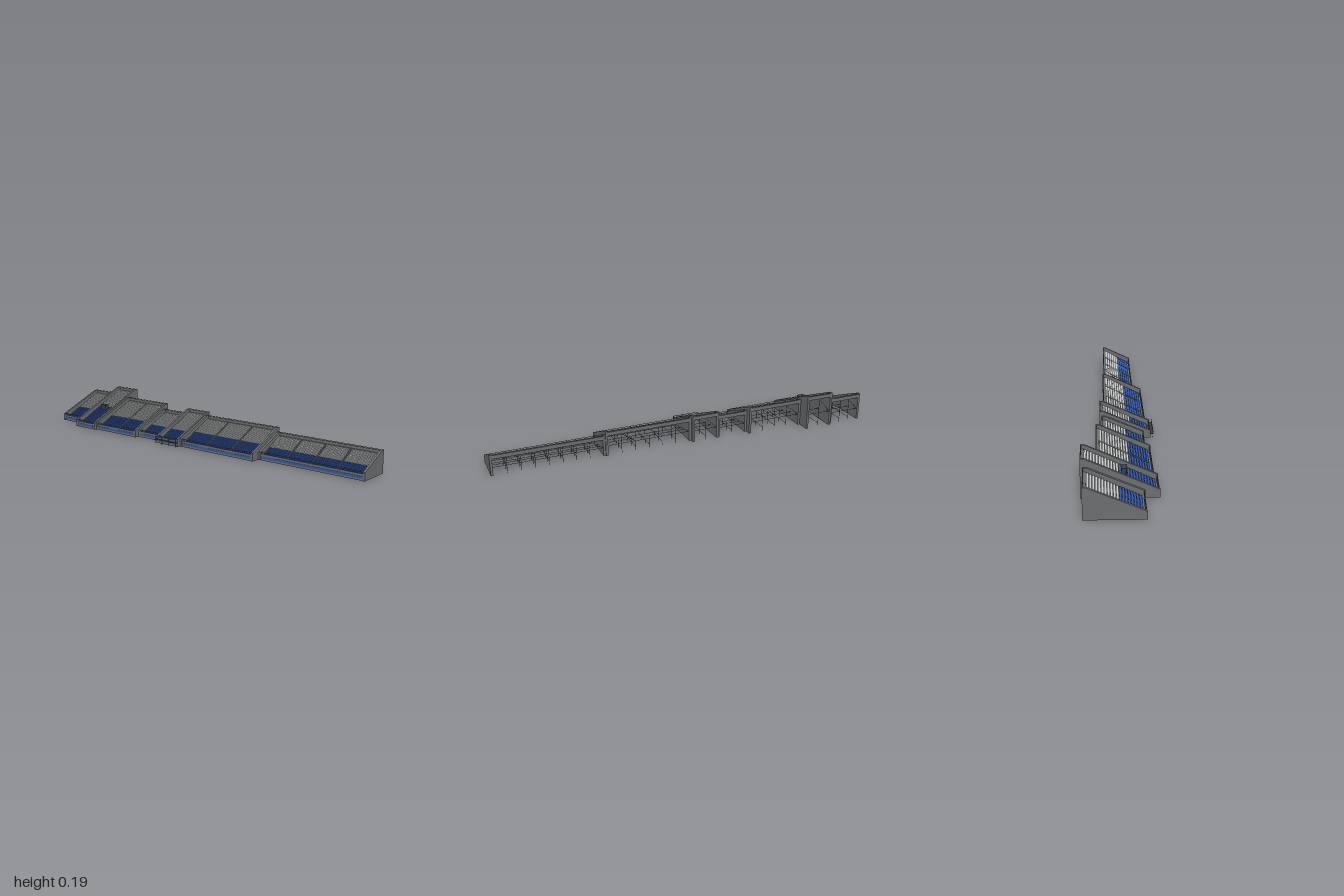
import * as THREE from 'three';
import { mergeGeometries } from 'three/addons/utils/BufferGeometryUtils.js';

const mat = (name, color) => {
  const m = new THREE.MeshStandardMaterial({ color });
  m.name = name;
  return m;
};

// Each stand: x range, back z, front z, top height, aisle positions, z where the blue seats end
const STANDS = [
  { x0: -1.0, x1: -0.812, zb: -0.167, zf: 0.1, top: 0.147, aisles: [], blue: -0.015 },
  { x0: -0.812, x1: -0.66, zb: -0.178, zf: 0.166, top: 0.185, aisles: [], blue: -0.005 },
  { x0: -0.66, x1: -0.35, zb: -0.11, zf: 0.152, top: 0.147, aisles: [-0.505], blue: 0.036 },
  { x0: -0.35, x1: -0.18, zb: -0.08, zf: 0.13, top: 0.121, aisles: [], blue: 0.036 },
  { x0: -0.18, x1: -0.033, zb: -0.09, zf: 0.166, top: 0.144, aisles: [], blue: 0.06 },
  { x0: -0.033, x1: 0.43, zb: -0.07, zf: 0.148, top: 0.13, aisles: [0.122, 0.275], blue: 0.045 },
  { x0: 0.43, x1: 1.0, zb: -0.063, zf: 0.104, top: 0.109, aisles: [0.577, 0.711, 0.845], blue: 0.025 },
];

// Box given by its limits
function box(x0, x1, y0, y1, z0, z1) {
  return new THREE.BoxGeometry(x1 - x0, y1 - y0, z1 - z0)
    .translate((x0 + x1) / 2, (y0 + y1) / 2, (z0 + z1) / 2).toNonIndexed();
}

// Side profile of [z, y] points stretched along x
function prism(points, x0, x1) {
  const shape = new THREE.Shape(points.map(([z, y]) => new THREE.Vector2(-z, y)));
  return new THREE.ExtrudeGeometry(shape, { depth: x1 - x0, bevelEnabled: false })
    .rotateY(Math.PI / 2).translate(x0, 0, 0);
}

// Thin scaffold tube between two points
function tube(a, b, r = 0.0011) {
  const p = new THREE.Vector3(...a), q = new THREE.Vector3(...b);
  const dir = q.clone().sub(p);
  const turn = new THREE.Quaternion().setFromUnitVectors(new THREE.Vector3(0, 1, 0), dir.clone().normalize());
  return new THREE.CylinderGeometry(r, r, dir.length(), 5).applyQuaternion(turn)
    .translate(...p.add(q).multiplyScalar(0.5).toArray()).toNonIndexed();
}

function addMesh(group, name, geometries, material) {
  if (!geometries.length) return;
  const mesh = new THREE.Mesh(mergeGeometries(geometries), material);
  mesh.name = name;
  group.add(mesh);
}

function buildStand(s, m) {
  const g = new THREE.Group();
  g.name = 'stand';
  const { x0, x1, zb, zf, top } = s;
  const wall = 0.012;
  const zs = zf - 0.014, ze = zb + 0.016;
  const yStart = 0.017, yEnd = top - 0.017;
  const rows = Math.round((zs - ze) / 0.0125);
  const d = (zs - ze) / rows, rise = (yEnd - yStart) / rows;

  // Solid side walls
  const profile = [[zf, 0], [zf, 0.038], [zb + 0.018, top], [zb, top], [zb, 0]];
  addMesh(g, 'sideWalls', [prism(profile, x0, x0 + wall), prism(profile, x1 - wall, x1)], m.frame);

  // Stepped deck
  const steps = [];
  for (let i = 0; i < rows; i++) {
    steps.push([zs - i * d, yStart + i * rise], [zs - (i + 1) * d, yStart + i * rise]);
  }
  steps.push([ze, yEnd], [zb, yEnd], [zb, yEnd - 0.006], [ze, yEnd - 0.01], [zs, yStart - 0.006]);
  addMesh(g, 'steppedDeck', [prism(steps, x0 + wall, x1 - wall)], m.frame);

  // Front parapet with a blue band, and rear parapet
  addMesh(g, 'parapets', [
    box(x0 + wall, x1 - wall, 0, 0.032, zf - 0.006, zf - 0.002),
    box(x0 + wall, x1 - wall, yEnd - 0.006, top - 0.003, zb, zb + 0.004),
  ], m.frame);
  addMesh(g, 'frontBand', [box(x0 + 0.016, x1 - 0.016, 0.01, 0.021, zf - 0.003, zf - 0.001)], m.blue);

  // Seat rows between the aisles
  const edges = [x0 + 0.008, ...s.aisles, x1 - 0.008];
  const blue = [], grey = [], halfSteps = [];
  for (let i = 0; i < rows; i++) {
    const z = zs - i * d, y = yStart + i * rise;
    const list = z - d / 2 > s.blue ? blue : grey;
    for (let k = 0; k < edges.length - 1; k++) {
      const a = edges[k] + 0.007, b = edges[k + 1] - 0.007;
      list.push(box(a, b, y, y + 0.0035, z - d * 0.95, z - d * 0.1));
      list.push(box(a, b, y + 0.003, y + 0.0065, z - d * 0.98, z - d * 0.8));
    }
    for (const x of s.aisles) halfSteps.push(box(x - 0.005, x + 0.005, y, y + rise / 2, z - d, z - d / 2));
  }
  addMesh(g, 'blueSeats', blue, m.blue);
  addMesh(g, 'greySeats', grey, m.grey);
  addMesh(g, 'aisleSteps', halfSteps, m.frame);

  // Front and rear handrails
  const rails = [];
  const posts = Math.max(3, Math.round((x1 - x0) / 0.05));
  for (const [z, base, h] of [[zf - 0.004, 0.03, 0.04], [zb + 0.002, top - 0.005, top + 0.001]]) {
    rails.push(box(x0, x1, h - 0.0015, h, z - 0.001, z + 0.001));
    for (let i = 0; i <= posts; i++) {
      const x = x0 + 0.004 + ((x1 - x0 - 0.008) * i) / posts;
      rails.push(box(x - 0.001, x + 0.001, base, h, z - 0.001, z + 0.001));
    }
  }
  addMesh(g, 'handrails', rails, m.dark);

  // Open scaffold under the deck
  const scaffold = [];
  const bays = Math.max(2, Math.round((x1 - x0) / 0.075));
  const a = x0 + wall, step = (x1 - x0 - 2 * wall) / bays;
  for (const t of [0.4, 0.7, 1]) {
    const z = zs + (zb + 0.006 - zs) * t;
    const h = Math.min(yStart + ((zs - z) / (zs - ze)) * (yEnd - yStart), yEnd) - 0.009;
    for (let i = 1; i < bays; i++) scaffold.push(tube([a + i * step, 0, z], [a + i * step, h, z]));
    scaffold.push(tube([a, h / 2, z], [x1 - wall, h / 2, z]));
    if (t === 1) {
      for (let i = 0; i < bays; i += 2) {
        scaffold.push(tube([a + i * step, h / 2, z], [a + (i + 1) * step, h, z], 0.0008));
      }
    }
  }
  for (let i = 1; i < bays; i++) {
    const x = a + i * step;
    scaffold.push(tube([x, 0.02, zs - 0.1 * (zs - zb)], [x, 0.02, zb + 0.006]));
  }
  addMesh(g, 'scaffold', scaffold, m.dark);
  return g;
}

export function createModel() {
  const model = new THREE.Group();
  model.name = 'grandstand';
  const m = {
    frame: mat('frameGrey', 0x6b6e70),
    grey: mat('seatGrey', 0xc6c7c8),
    blue: mat('seatBlue', 0x3558a8),
    dark: mat('darkMetal', 0x3c3f42),
  };
  for (const s of STANDS) model.add(buildStand(s, m));

  // Commentary box among the seats
  addMesh(model, 'commentaryBox', [
    box(-0.754, -0.72, 0.085, 0.109, 0.0, 0.022),
    box(-0.757, -0.717, 0.109, 0.113, -0.002, 0.025),
  ], m.dark);

  // Small walkway on posts in front of one stand
  const e = STANDS[4];
  const parts = [box(e.x0, e.x1, 0.02, 0.0225, 0.16, 0.18), box(e.x0, e.x1, 0.038, 0.04, 0.177, 0.179)];
  for (let i = 0; i <= 3; i++) {
    const x = e.x0 + 0.002 + ((e.x1 - e.x0 - 0.004) * i) / 3;
    parts.push(box(x - 0.001, x + 0.001, 0, 0.04, 0.177, 0.179));
  }
  addMesh(model, 'frontWalkway', parts, m.dark);
  return model;
}
